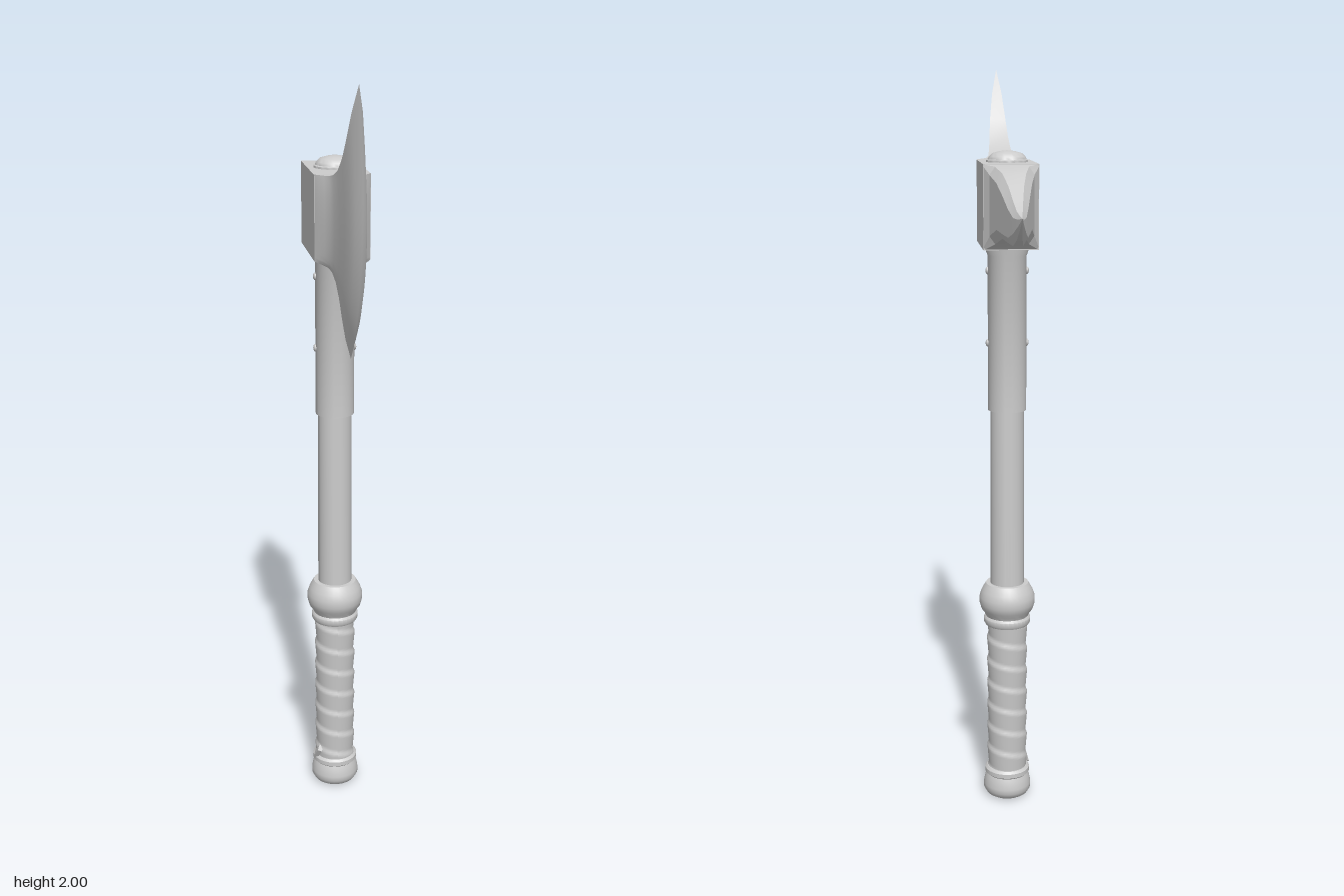
import * as THREE from 'three';
import { toCreasedNormals } from 'three/addons/utils/BufferGeometryUtils.js';

// Skin closed rings (counterclockwise seen from +z) ordered along +z
function loft(rings, crease) {
  const n = rings[0].length;
  const index = [];
  for (let i = 0; i < rings.length - 1; i++) {
    for (let j = 0; j < n; j++) {
      const k = (j + 1) % n;
      const a = i * n + j, b = i * n + k, c = b + n, d = a + n;
      index.push(a, b, c, a, c, d);
    }
  }
  const geo = new THREE.BufferGeometry();
  geo.setAttribute('position', new THREE.Float32BufferAttribute(rings.flat(2), 3));
  geo.setIndex(index);
  return toCreasedNormals(geo, crease);
}

// Complete a ring from its +x half, listed from bottom to top
const mirrorRing = half => [...half, ...half.slice().reverse().map(([x, y, z]) => [-x, y, z])];

function curve(points) {
  return new THREE.CatmullRomCurve3(points.map(([z, y]) => new THREE.Vector3(0, y, z)));
}

// Flared axe blade: a patch between four border curves, thinning to the edge
function bladeGeometry() {
  const top = curve([[0.122, 1.768], [0.175, 1.772], [0.24, 1.8], [0.3, 1.872], [0.35, 2]]);
  const bottom = curve([[0.122, 1.555], [0.165, 1.543], [0.21, 1.51], [0.243, 1.44], [0.255, 1.34]]);
  const edge = curve([[0.255, 1.34], [0.335, 1.44], [0.39, 1.58], [0.41, 1.72], [0.395, 1.86], [0.35, 2]]);
  const root = curve([[0.122, 1.555], [0.122, 1.768]]);
  const thickness = [[0, 0.07], [0.07, 0.061], [0.14, 0.05], [0.22, 0.04], [0.3, 0.034], [0.45, 0.029],
    [0.6, 0.025], [0.74, 0.021], [0.88, 0.013], [1, 0]];
  const rows = 24;
  const rings = thickness.map(([t, x]) => {
    const half = [];
    for (let i = 0; i <= rows; i++) {
      const v = i / rows;
      const mix = (b, a, l, r, b0, b1, a0, a1) => (1 - v) * b + v * a + (1 - t) * l + t * r
        - (1 - v) * ((1 - t) * b0 + t * b1) - v * ((1 - t) * a0 + t * a1);
      const p = [bottom.getPoint(t), top.getPoint(t), root.getPoint(v), edge.getPoint(v),
        bottom.getPoint(0), bottom.getPoint(1), top.getPoint(0), top.getPoint(1)];
      half.push([x, mix(...p.map(q => q.y)), mix(...p.map(q => q.z))]);
    }
    return mirrorRing(half);
  });
  return loft(rings, 0.6);
}

// Beak spike: chamfered cross-sections tapering to a raised tip
function spikeGeometry() {
  // z, half width, crest half width, bottom y, top y, chamfer height
  const stations = [
    [-0.41, 0, 0, 1.658, 1.658, 0],
    [-0.375, 0.008, 0.003, 1.628, 1.661, 0.008],
    [-0.34, 0.016, 0.007, 1.602, 1.669, 0.015],
    [-0.3, 0.024, 0.012, 1.584, 1.69, 0.02],
    [-0.25, 0.034, 0.019, 1.586, 1.722, 0.022],
    [-0.2, 0.044, 0.029, 1.592, 1.748, 0.022],
    [-0.14, 0.056, 0.042, 1.572, 1.762, 0.02],
    [-0.115, 0.07, 0.068, 1.556, 1.766, 0.004],
  ];
  return loft(stations.map(([z, w, c, yb, yt, s]) => mirrorRing([
    [c, yb, z], [w, yb + s, z], [w, yt - s, z], [c, yt, z],
  ])), 0.3);
}

// Grip wound with an overlapping helical strap
function gripGeometry() {
  const geo = new THREE.CylinderGeometry(1, 1, 0.45, 32, 90, true);
  const pos = geo.attributes.position;
  for (let i = 0; i < pos.count; i++) {
    const angle = Math.atan2(pos.getX(i), pos.getZ(i));
    const turn = pos.getY(i) / 0.065 + angle / (Math.PI * 2) + 20;
    const f = turn % 1;
    const r = 0.0515 + 0.0055 * Math.min(f, (1 - f) * 6);
    pos.setXYZ(i, Math.sin(angle) * r, pos.getY(i), Math.cos(angle) * r);
  }
  geo.computeVertexNormals();
  return geo;
}

export function createModel() {
  const axe = new THREE.Group();
  axe.name = 'battleAxe';
  const grey = new THREE.MeshStandardMaterial({ color: 0xcccccc });
  grey.name = 'plain grey';

  const add = (name, geo, x = 0, y = 0, z = 0) => {
    const mesh = new THREE.Mesh(geo, grey);
    mesh.name = name;
    mesh.position.set(x, y, z);
    axe.add(mesh);
    return mesh;
  };
  const turned = (name, profile) => add(name, toCreasedNormals(
    new THREE.LatheGeometry(profile.map(([r, y]) => new THREE.Vector2(r, y)), 32), 0.7));

  // Handle, from the bottom up
  turned('pommel', [[0, 0], [0.045, 0], [0.058, 0.008], [0.066, 0.022], [0.066, 0.035], [0.062, 0.055],
    [0.058, 0.066], [0.062, 0.07], [0.062, 0.082], [0.056, 0.088], [0.04, 0.088]]);
  add('grip', gripGeometry(), 0, 0.305, 0);
  turned('collar', [[0.04, 0.515], [0.06, 0.515], [0.064, 0.522], [0.064, 0.534], [0.059, 0.54], [0.062, 0.548],
    [0.071, 0.56], [0.076, 0.577], [0.076, 0.596], [0.07, 0.613], [0.063, 0.626], [0.058, 0.634], [0.04, 0.634]]);
  turned('shaft', [[0.046, 0.6], [0.045, 1.13]]);
  turned('sleeve', [[0.04, 1.12], [0.051, 1.12], [0.051, 1.53], [0.058, 1.548], [0.058, 1.56]]);

  // Strap end tucked in at the foot of the grip
  const knot = add('strapEnd', new THREE.BoxGeometry(0.012, 0.04, 0.025), -0.05, 0.102, 0.02);
  knot.rotation.set(0.5, -0.35, -0.25);

  // Rivets through both sides of the sleeve
  for (const side of [-1, 1]) {
    for (const y of [1.3, 1.49]) {
      const rivet = add('rivet', new THREE.SphereGeometry(0.01, 12, 8), side * 0.051, y, 0);
      rivet.scale.x = 0.6;
    }
  }

  // Head
  add('headBlock', new THREE.BoxGeometry(0.14, 0.212, 0.24), 0, 1.661, 0.003);
  add('blade', bladeGeometry());
  add('spike', spikeGeometry());
  turned('topCap', [[0.054, 1.76], [0.054, 1.772], [0.05, 1.774], [0.047, 1.781], [0.038, 1.789],
    [0.02, 1.794], [0, 1.796]]);

  return axe;
}
